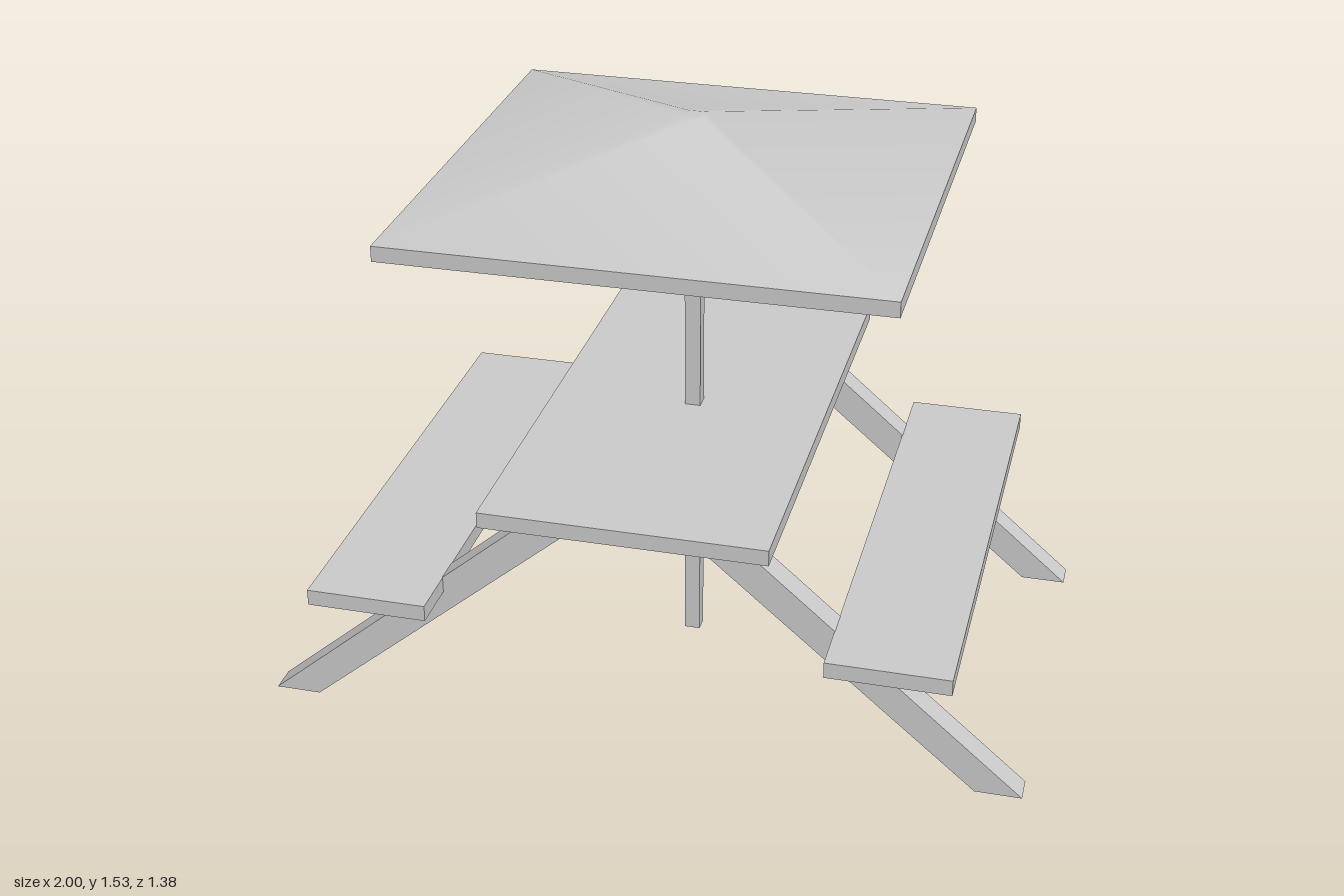
import * as THREE from 'three';

const material = new THREE.MeshStandardMaterial({ color: 0xcccccc });
const flatMaterial = new THREE.MeshStandardMaterial({ color: 0xcccccc, flatShading: true });

function add(parent, name, geometry, mat = material) {
  const mesh = new THREE.Mesh(geometry, mat);
  mesh.name = name;
  parent.add(mesh);
  return mesh;
}

// Box given by its minimum and maximum corners
function boxBetween(x0, x1, y0, y1, z0, z1) {
  return new THREE.BoxGeometry(x1 - x0, y1 - y0, z1 - z0)
    .translate((x0 + x1) / 2, (y0 + y1) / 2, (z0 + z1) / 2);
}

// Open four-sided band between two square half-widths
function squareBand(topHalf, bottomHalf, y0, y1) {
  return new THREE.CylinderGeometry(topHalf * Math.SQRT2, bottomHalf * Math.SQRT2,
    y1 - y0, 4, 1, true, Math.PI / 4).translate(0, (y0 + y1) / 2, 0);
}

// Turn a surface inside out
function inverted(geometry) {
  geometry.index.array.reverse();
  const n = geometry.attributes.normal;
  for (let i = 0; i < n.count; i++) n.setXYZ(i, -n.getX(i), -n.getY(i), -n.getZ(i));
  return geometry;
}

// Slanted leg with level cuts at the foot and the table
function legGeometry(side) {
  const outline = [[0.88, 0], [1, 0], [0.215, 0.675], [0.085, 0.675]];
  const shape = new THREE.Shape(outline.map(([x, y]) => new THREE.Vector2(side * x, y)));
  return new THREE.ExtrudeGeometry(shape, { depth: 0.072, bevelEnabled: false })
    .translate(0, 0, -0.036);
}

export function createModel() {
  const model = new THREE.Group();
  model.name = 'picnicTable';

  // Table top
  add(model, 'tableTop', boxBetween(-0.36, 0.37, 0.673, 0.715, -0.693, 0.69));

  // Benches and legs on both sides
  for (const side of [-1, 1]) {
    const label = side > 0 ? 'left' : 'right';
    add(model, label + 'Bench', boxBetween(-0.157, 0.157, 0.377, 0.42, -0.693, 0.69))
      .position.x = side * 0.667;
    for (const z of [-0.518, 0.515]) {
      add(model, label + (z > 0 ? 'FrontLeg' : 'BackLeg'), legGeometry(side)).position.z = z;
    }
  }

  // Parasol: pole and hollow pyramid canopy
  const parasol = new THREE.Group();
  parasol.name = 'parasol';
  parasol.position.set(0.017, 0, -0.003);
  model.add(parasol);
  add(parasol, 'pole', boxBetween(-0.021, 0.021, 0.01, 1.5, -0.021, 0.021));

  const half = 0.63, tip = 0.02;
  add(parasol, 'canopyTop', squareBand(tip, half, 1.37, 1.527));
  add(parasol, 'canopyRim', squareBand(half, half, 1.33, 1.37), flatMaterial);
  add(parasol, 'canopyUnderside', inverted(squareBand(tip, half, 1.33, 1.487)));
  add(parasol, 'canopyCap', new THREE.PlaneGeometry(2 * tip, 2 * tip)
    .rotateX(-Math.PI / 2).translate(0, 1.527, 0));

  return model;
}
